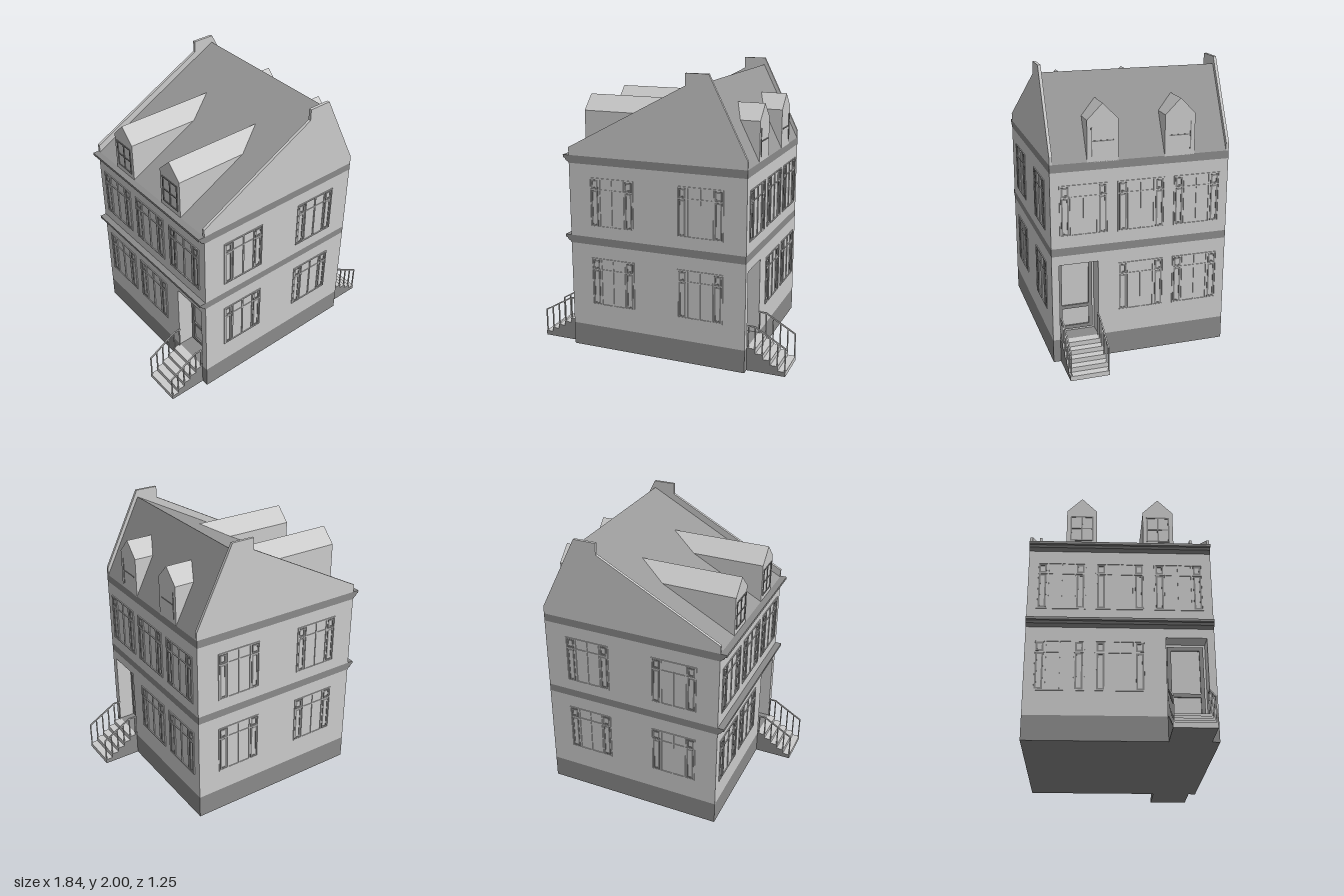
import * as THREE from 'three';

const light = new THREE.MeshStandardMaterial({ color: 0xcccccc });
const dark = new THREE.MeshStandardMaterial({ color: 0x8a8a8a });
const slate = new THREE.MeshStandardMaterial({ color: 0x999999 });

const HX = 0.648, HZ = 0.62; // half width and half depth of the house
const DOOR_Z = 0.435, DOOR_HALF = 0.135, RECESS = 0.12;

function add(parent, name, geometry, material) {
  const mesh = new THREE.Mesh(geometry, material);
  mesh.name = name;
  parent.add(mesh);
  return mesh;
}

// box given by its limits
function box(parent, name, x0, x1, y0, y1, z0, z1, material) {
  const g = new THREE.BoxGeometry(x1 - x0, y1 - y0, z1 - z0);
  g.translate((x0 + x1) / 2, (y0 + y1) / 2, (z0 + z1) / 2);
  return add(parent, name, g, material);
}

// thin square bar between two points
function bar(parent, name, a, b, size, material) {
  const p = new THREE.Vector3(...a), d = new THREE.Vector3(...b).sub(p);
  const g = new THREE.BoxGeometry(size, d.length(), size);
  const mesh = add(parent, name, g, material);
  mesh.position.copy(p).addScaledVector(d, 0.5);
  mesh.quaternion.setFromUnitVectors(new THREE.Vector3(0, 1, 0), d.normalize());
}

function extrude(points, depth) {
  const shape = new THREE.Shape(points.map(p => new THREE.Vector2(...p)));
  return new THREE.ExtrudeGeometry(shape, { depth, bevelEnabled: false });
}

// horizontal layer of the house, optionally notched by the two door recesses
function layer(parent, name, y0, y1, material, notched = false) {
  const a = -DOOR_Z - DOOR_HALF, b = -DOOR_Z + DOOR_HALF, r = HX - RECESS;
  const right = notched ? [[HX, a], [r, a], [r, b], [HX, b]] : [];
  const left = right.map(([x, y]) => [-x, y]).reverse();
  const plan = [[-HX, -HZ], [HX, -HZ], ...right, [HX, HZ], [-HX, HZ], ...left];
  const g = extrude(plan, y1 - y0);
  g.rotateX(-Math.PI / 2).translate(0, y0, 0);
  add(parent, name, g, material);
}

// rectangular ring of four bars lying on the wall, facing +z
function frame(parent, name, x0, x1, y0, y1, t, z0, z1, material) {
  const shape = new THREE.Shape();
  shape.moveTo(x0, y0).lineTo(x1, y0).lineTo(x1, y1).lineTo(x0, y1).closePath();
  const hole = new THREE.Path();
  hole.moveTo(x0 + t, y0 + t).lineTo(x0 + t, y1 - t).lineTo(x1 - t, y1 - t).lineTo(x1 - t, y0 + t).closePath();
  shape.holes.push(hole);
  const g = new THREE.ExtrudeGeometry(shape, { depth: z1 - z0, bevelEnabled: false });
  add(parent, name, g.translate(0, 0, z0), material);
}

// four-light casement with a transom, facing +z
function makeWindow() {
  const w = new THREE.Group();
  w.name = 'window';
  frame(w, 'windowFrame', -0.165, 0.165, 0, 0.35, 0.008, -0.004, 0.006, light);
  for (const x of [-0.09, 0, 0.09])
    box(w, 'mullion', x - 0.005, x + 0.005, 0.008, 0.342, -0.004, 0.006, light);
  box(w, 'transom', -0.157, 0.157, 0.263, 0.271, -0.004, 0.005, light);
  for (const x of [-0.128, 0.128]) {
    frame(w, 'lowerSash', x - 0.026, x + 0.026, 0.008, 0.262, 0.012, -0.004, 0.004, dark);
    frame(w, 'upperSash', x - 0.026, x + 0.026, 0.272, 0.337, 0.012, -0.004, 0.004, dark);
  }
  return w;
}

// recessed door with steps and railings, facing +z
function makeEntrance() {
  const e = new THREE.Group();
  e.name = 'entrance';
  const z = -RECESS;
  box(e, 'doorPanel', -0.134, 0.134, 0.165, 0.71, z - 0.004, z + 0.005, light);
  frame(e, 'doorFrame', -0.12, 0.12, 0.18, 0.69, 0.026, z, z + 0.015, dark);
  box(e, 'doorRail', -0.1, 0.1, 0.335, 0.36, z, z + 0.015, dark);
  const rise = 0.033, run = 0.053;
  const faces = [dark, dark, light, dark, light, light];
  for (let i = 0; i < 5; i++)
    box(e, 'step', -DOOR_HALF, DOOR_HALF, i * rise, (i + 1) * rise, 0, 0.272 - i * run, faces);
  for (const x of [-0.128, 0.128]) {
    for (let i = 0; i < 5; i++) {
      const pz = 0.267 - i * run;
      bar(e, 'baluster', [x, (i + 1) * rise, pz], [x, 0.2 + i * 0.031, pz], 0.008, light);
    }
    bar(e, 'slopedRail', [x, 0.198, 0.27], [x, 0.324, 0.055], 0.009, light);
    bar(e, 'flatRail', [x, 0.324, 0.057], [x, 0.324, 0], 0.009, light);
    bar(e, 'wallPost', [x, 0.165, 0.008], [x, 0.324, 0.008], 0.008, light);
  }
  return e;
}

// gabled dormer running back into the roof, facing +z
function makeDormer(depth) {
  const d = new THREE.Group();
  d.name = 'dormer';
  const g = extrude([[-0.105, 1.40], [0.105, 1.40], [0.105, 1.68], [0, 1.785], [-0.105, 1.68]], depth);
  add(d, 'dormerBody', g.translate(0, 0, -depth), light);
  return d;
}

export function createModel() {
  const house = new THREE.Group();
  house.name = 'house';

  // walls, plinth and string courses
  layer(house, 'plinth', 0, 0.165, dark);
  layer(house, 'groundFloorWall', 0.165, 0.71, light, true);
  layer(house, 'wallAboveDoors', 0.71, 0.775, light);
  layer(house, 'lowerBand', 0.775, 0.83, dark);
  layer(house, 'upperFloorWall', 0.83, 1.35, light);
  layer(house, 'upperBand', 1.35, 1.405, dark);

  // moulded cornices along the -x side
  for (const y of [0.775, 1.35]) {
    const g = extrude([[-HX, y], [-HX, y + 0.055], [-0.693, y + 0.055], [-0.693, y + 0.037],
      [-0.68, y + 0.034], [-0.672, y + 0.018], [-0.66, y + 0.012]], 2 * HZ);
    add(house, 'cornice', g.translate(0, 0, -HZ), dark);
  }

  // asymmetric roof between two gable walls that end in a parapet
  const roof = extrude([[-HX, 1.405], [HX, 1.405], [0.375, 1.95]], 1.2);
  add(house, 'roof', roof.translate(0, 0, -0.6), slate);
  for (const z of [-HZ, 0.6]) {
    const gable = extrude([[-HX, 1.405], [HX, 1.405], [HX, 1.46], [0.38, 2],
      [0.22, 2], [0.22, 1.92], [-HX, 1.46]], 0.02);
    add(house, 'gableWall', gable.translate(0, 0, z), light);
  }

  // windows of the two gable ends
  for (const y of [0.33, 0.91]) for (const x of [-0.325, 0.325]) for (const s of [1, -1]) {
    const w = makeWindow();
    w.position.set(x, y, s * HZ);
    w.rotation.y = s > 0 ? 0 : Math.PI;
    house.add(w);
  }

  // long sides: windows, entrance and dormers, each turned to face outward
  for (const s of [1, -1]) {
    const place = (part, y, z) => {
      part.position.set(s * HX, y, z);
      part.rotation.y = s * Math.PI / 2;
      house.add(part);
    };
    for (const z of [0.395, 0, -0.395]) {
      place(makeWindow(), 0.91, z);
      if (z < 0.3) place(makeWindow(), 0.33, z);
    }
    place(makeEntrance(), 0, DOOR_Z);
    for (const z of [0.265, -0.265]) {
      const d = makeDormer(s > 0 ? 0.25 : 0.73);
      if (s > 0) { // simple glazing bars
        const o = -Math.sign(z) * 0.075;
        box(d, 'dormerPost', o - 0.004, o + 0.004, 1.44, 1.63, -0.004, 0.003, dark);
        box(d, 'dormerCrossbar', -0.075, 0.075, 1.536, 1.544, -0.004, 0.003, dark);
      } else { // framed dormer window
        frame(d, 'dormerFrame', -0.08, 0.08, 1.44, 1.64, 0.01, -0.004, 0.004, dark);
        box(d, 'dormerMullion', -0.005, 0.005, 1.45, 1.63, -0.004, 0.004, dark);
        box(d, 'dormerCrossbar', -0.07, 0.07, 1.536, 1.544, -0.004, 0.004, dark);
      }
      place(d, 0, z);
    }
  }
  return house;
}
